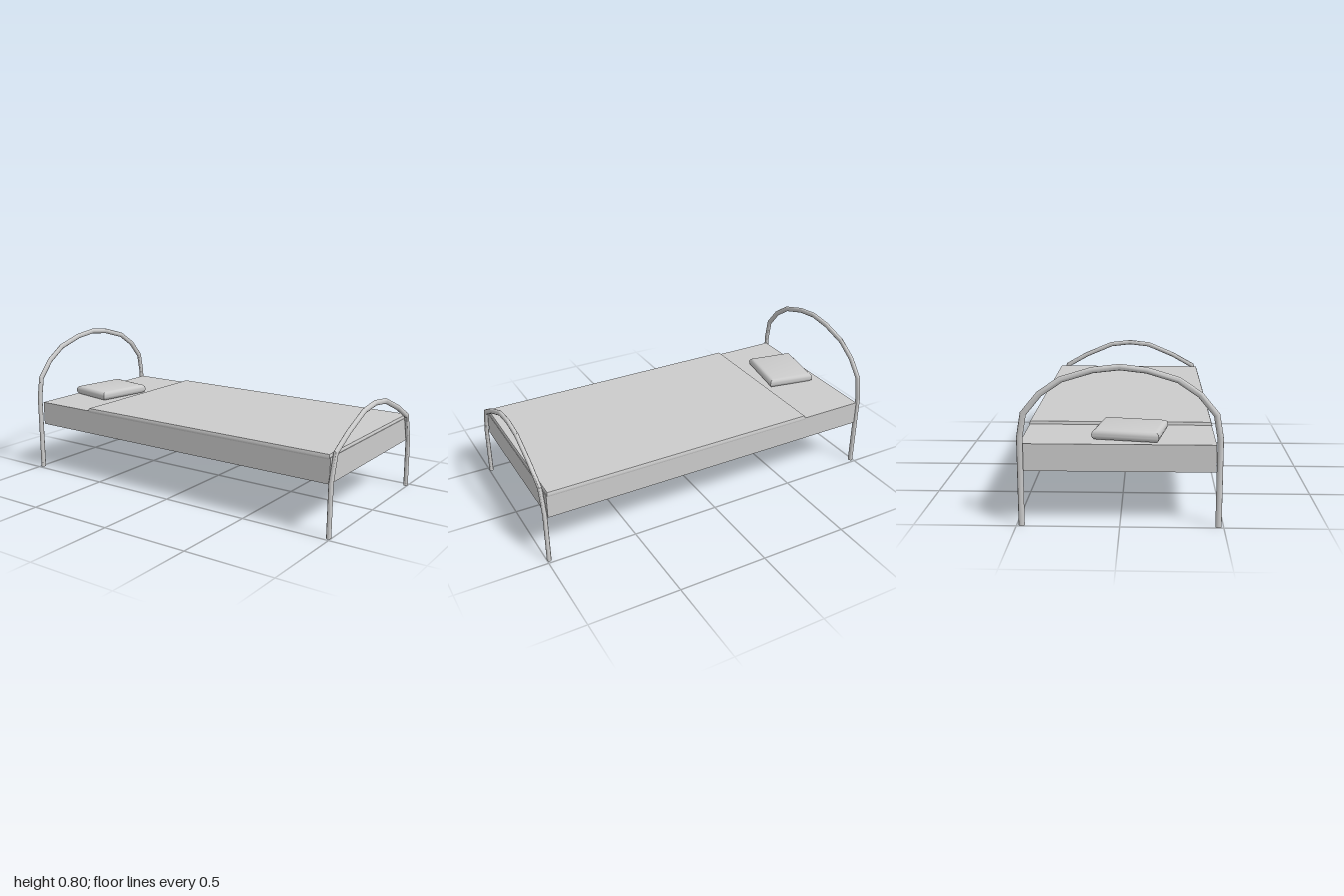
import * as THREE from 'three';
import { toCreasedNormals } from 'three/addons/utils/BufferGeometryUtils.js';

const material = new THREE.MeshStandardMaterial({ color: 0xcccccc });

function part(name, geometry, x = 0, y = 0, z = 0) {
  const mesh = new THREE.Mesh(geometry, material);
  mesh.name = name;
  mesh.position.set(x, y, z);
  return mesh;
}

// Mitred round tube along a mirrored polyline of [z, y] points
function archGeometry(half, rx, rz, sides = 12) {
  const mirrored = half.slice(0, -1).reverse().map(([z, y]) => [-z, y]);
  const path = [...half, ...mirrored].map(([z, y]) => new THREE.Vector2(z, y));
  const last = path.length - 1;
  const positions = [], index = [];
  path.forEach((p, i) => {
    const a = p.clone().sub(path[Math.max(i - 1, 0)]).normalize();
    const b = path[Math.min(i + 1, last)].clone().sub(p).normalize();
    const t = a.clone().add(b).normalize();
    const mitre = rz / t.dot(i < last ? b : a);
    for (let s = 0; s < sides; s++) {
      const angle = (s / sides) * Math.PI * 2;
      const w = Math.cos(angle) * mitre;
      positions.push(Math.sin(angle) * rx, p.y + t.x * w, p.x - t.y * w);
      if (i < last) {
        const n = (s + 1) % sides, k = i * sides;
        index.push(k + s, k + sides + s, k + n, k + n, k + sides + s, k + sides + n);
      }
    }
  });
  // End caps under the feet
  for (let s = 1; s < sides - 1; s++) {
    const k = last * sides;
    index.push(0, s, s + 1, k, k + s + 1, k + s);
  }
  const geometry = new THREE.BufferGeometry();
  geometry.setAttribute('position', new THREE.Float32BufferAttribute(positions, 3));
  geometry.setIndex(index);
  return toCreasedNormals(geometry, 0.7);
}

// Rectangular slab lying flat, with bevelled rims; its middle is at the origin
function slab(width, depth, height, bevel, bevelHeight, bevelSegments) {
  const w = width / 2 - bevel, d = depth / 2 - bevel;
  const shape = new THREE.Shape([[-w, -d], [w, -d], [w, d], [-w, d]].map(c => new THREE.Vector2(...c)));
  const core = height - 2 * bevelHeight;
  const geometry = new THREE.ExtrudeGeometry(shape, {
    depth: core, bevelEnabled: true, bevelSize: bevel, bevelThickness: bevelHeight, bevelSegments,
  });
  geometry.translate(0, 0, -core / 2);
  geometry.rotateX(-Math.PI / 2);
  return toCreasedNormals(geometry, 0.6);
}

export function createModel() {
  const bed = new THREE.Group();
  bed.name = 'bed';

  // Arched tube ends that also form the legs
  const head = [[0.475, 0], [0.475, 0.44], [0.455, 0.555], [0.377, 0.65], [0.275, 0.72], [0.127, 0.765], [0, 0.78]];
  const foot = [[0.475, 0], [0.47, 0.28], [0.43, 0.425], [0.3, 0.498], [0.13, 0.57], [0, 0.585]];
  bed.add(part('headArch', archGeometry(head, 0.012, 0.015), -0.988, 0, 0));
  bed.add(part('footArch', archGeometry(foot, 0.012, 0.015), 0.988, 0, 0));

  // Mattress and the blanket covering its lower part
  bed.add(part('mattress', new THREE.BoxGeometry(1.95, 0.135, 0.94), 0, 0.3375, -0.01));
  bed.add(part('blanket', slab(1.576, 0.946, 0.03, 0.005, 0.013, 1), 0.184, 0.405, -0.01));

  // Pillow lying slightly askew
  const pillow = part('pillow', slab(0.28, 0.33, 0.054, 0.024, 0.024, 3), -0.797, 0.432, 0.047);
  pillow.rotation.y = -0.175;
  bed.add(pillow);

  return bed;
}
